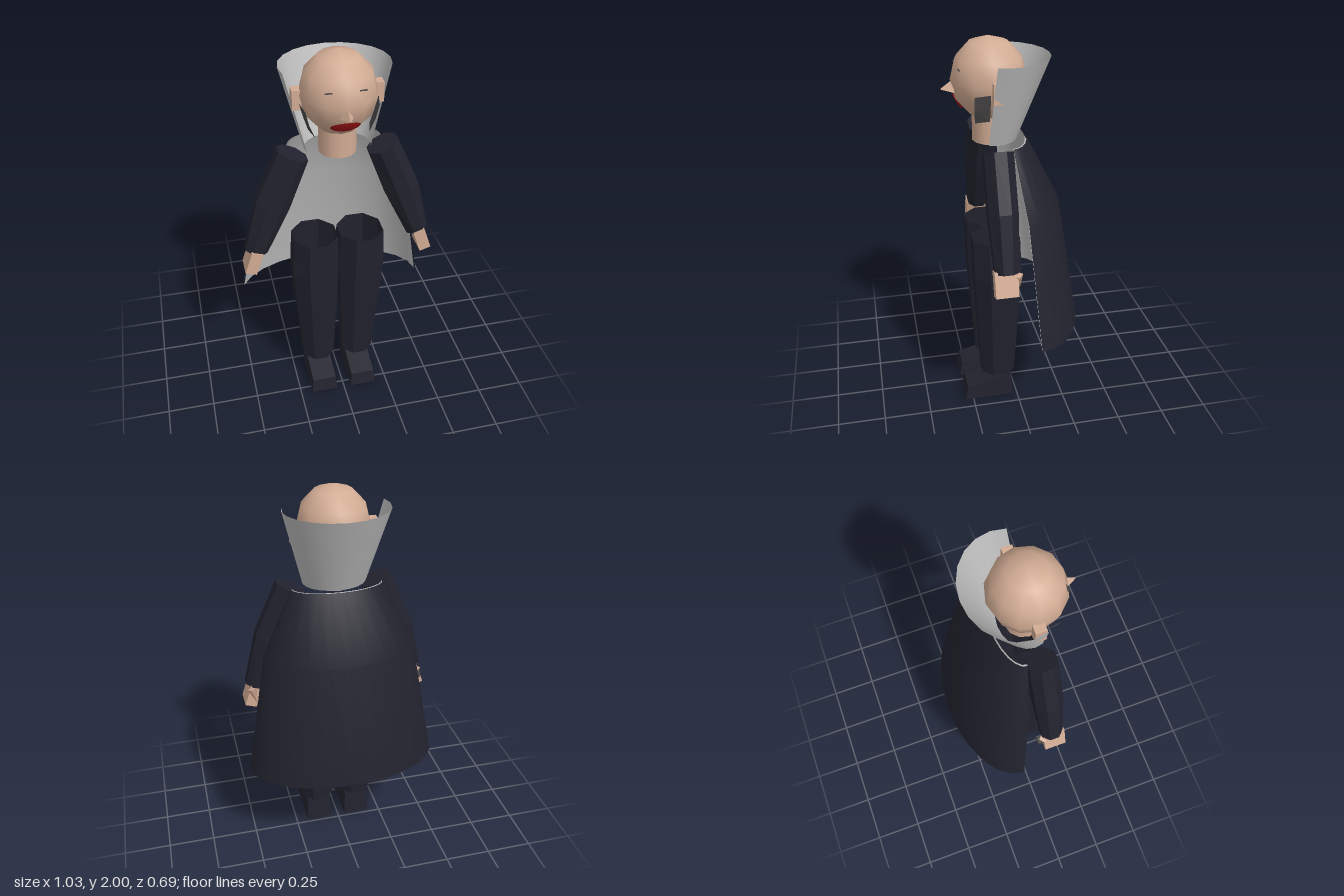
import * as THREE from 'three';

const mat = (name, color) => {
  const m = new THREE.MeshStandardMaterial({ color, side: THREE.DoubleSide });
  m.name = name;
  return m;
};

// Skin through rings of points; optional end caps, faceted or smooth
function loft(rings, { closed = true, caps = false, flat = true } = {}) {
  const n = rings[0].length, pos = rings.flat(2), idx = [];
  const span = closed ? n : n - 1;
  for (let r = 0; r < rings.length - 1; r++) {
    for (let i = 0; i < span; i++) {
      const a = r * n + i, b = r * n + (i + 1) % n;
      idx.push(a, b, a + n, b, b + n, a + n);
    }
  }
  if (caps) {
    const e = (rings.length - 1) * n;
    for (let i = 1; i < n - 1; i++) idx.push(0, i + 1, i, e, e + i, e + i + 1);
  }
  let g = new THREE.BufferGeometry();
  g.setAttribute('position', new THREE.Float32BufferAttribute(pos, 3));
  g.setIndex(idx);
  if (flat) g = g.toNonIndexed();
  g.computeVertexNormals();
  return g;
}

// Elliptical arc around (0, y, cz), from angle a0 to a1, passing behind
const arc = (y, cz, rx, rz, a0, a1, n) => Array.from({ length: n + 1 }, (_, i) => {
  const a = a0 + (a1 - a0) * i / n;
  return [Math.cos(a) * rx, y, cz - Math.sin(a) * rz];
});

export function createModel() {
  const model = new THREE.Group();
  const skin = mat('skin', 0xd2ac94);
  const navy = mat('navy cloth', 0x22222e);
  const grey = mat('grey lining', 0xbdbdbd);
  const red = mat('red lips', 0xa01518);
  const dark = mat('dark grey', 0x4c4a4a);

  const add = (name, geo, material, x = 0, y = 0, z = 0) => {
    const m = new THREE.Mesh(geo, material);
    m.name = name;
    m.position.set(x, y, z);
    model.add(m);
    return m;
  };

  // Head, nose and neck
  const HY = 1.795, HZ = 0.108, RX = 0.19, RY = 0.205;
  add('head', new THREE.SphereGeometry(1, 12, 6).scale(RX, RY, RX), skin, 0, HY, HZ);
  add('neck', new THREE.CylinderGeometry(0.095, 0.095, 0.16, 12), skin, 0, 1.56, 0.1);
  add('nose', loft([
    [[-0.032, 1.735, 0.28], [0.032, 1.735, 0.28], [0, 1.795, 0.285]],
    [[-0.002, 1.748, 0.343], [0.002, 1.748, 0.343], [0, 1.752, 0.343]],
  ], { caps: true }), skin);

  // Lips, wrapped onto the front of the head
  const lips = new THREE.RingGeometry(0, 1, 18, 3);
  const lp = lips.attributes.position;
  for (let i = 0; i < lp.count; i++) {
    const x = lp.getX(i) * 0.073, y = 1.686 + lp.getY(i) * 0.03;
    const k = 1 - (x / RX) ** 2 - ((y - HY) / RY) ** 2;
    lp.setXYZ(i, x, y, HZ + RX * Math.sqrt(k) + 0.003);
  }
  lips.computeVertexNormals();
  add('lips', lips, red);

  // Standing collar, open at the front
  const open = 0.3;
  add('collar', loft([
    arc(1.5, 0.1, 0.165, 0.13, -open, Math.PI + open, 12),
    arc(1.905, 0.04, 0.27, 0.235, -open, Math.PI + open, 12),
  ], { closed: false, flat: false }), grey);

  // Cape, with the lining just inside it
  const cape = inset => loft([
    [0.51, -0.06, 0.515, 0.285], [1.17, -0.01, 0.4, 0.23], [1.505, 0.035, 0.24, 0.105],
  ].map(([y, cz, rx, rz]) => arc(y, cz, rx - inset, rz - inset, 0, Math.PI, 12)),
  { closed: false, flat: false });
  add('cape', cape(0), navy);
  add('capeLining', cape(0.008), grey);

  for (const s of [1, -1]) {
    const side = s > 0 ? 'left' : 'right';

    // Face side details
    add(side + 'Ear', new THREE.BoxGeometry(0.045, 0.1, 0.055), skin, s * 0.198, 1.77, 0.095);
    add(side + 'Sideburn', loft([
      [[s * 0.19, 1.76, 0.13], [s * 0.175, 1.75, 0.205]],
      [[s * 0.172, 1.69, 0.13], [s * 0.158, 1.68, 0.205]],
      [[s * 0.15, 1.62, 0.13], [s * 0.13, 1.61, 0.2]],
    ], { closed: false }), dark);
    add(side + 'Eye', new THREE.BoxGeometry(0.035, 0.004, 0.008), dark, s * 0.08, 1.86, 0.264);

    // Sleeve: tilted eight-sided rings from shoulder to wrist
    const sleeve = [
      [0.225, 1.487, 0.079, 0.075, -0.43], [0.337, 1.215, 0.088, 0.075, -0.37],
      [0.432, 0.945, 0.058, 0.06, -0.27],
    ].map(([cx, cy, rw, rz, tilt]) => Array.from({ length: 8 }, (_, i) => {
      const a = (i + 0.5) * Math.PI / 4, w = Math.cos(a) * rw * 1.08;
      return [s * (cx + w * Math.cos(tilt)), cy - w * Math.sin(tilt), 0.108 + Math.sin(a) * rz * 1.05];
    }));
    add(side + 'Sleeve', loft(sleeve, { caps: true }), navy);

    // Hand and thumb
    const hand = add(side + 'Hand', new THREE.BoxGeometry(0.062, 0.13, 0.115), skin, s * 0.452, 0.896, 0.115);
    hand.rotation.z = s * 0.33;
    const thumb = add(side + 'Thumb', new THREE.ConeGeometry(0.025, 0.09, 4), skin, s * 0.45, 0.9, 0.05);
    thumb.rotation.set(Math.PI + 0.15, 0, s * 0.25);

    // Open-ended trouser leg
    const leg = [
      [0.152, 0.113, 0.1, 0.087, 0.09], [0.78, 0.125, 0.1, 0.122, 0.125], [0.99, 0.122, 0.105, 0.115, 0.122],
    ].map(([y, cx, cz, rx, rz]) => Array.from({ length: 8 }, (_, i) => {
      const a = (i + 0.5) * Math.PI / 4;
      return [s * (cx + Math.cos(a) * rx * 1.08), y, cz + Math.sin(a) * rz * 1.08];
    }));
    add(side + 'TrouserLeg', loft(leg), navy);

    // Wedge-shaped shoe
    const shoe = [[0.04, 0.185], [0.047, 0.178]];
    const ring = (y0, y1, zf, zb, [a, b]) => [
      [s * a, y0, zf], [s * b, y0, zf], [s * b, y1, zb], [s * a, y1, zb],
    ];
    add(side + 'Shoe', loft([
      ring(0, 0, 0.295, 0.022, shoe[0]), ring(0.075, 0.14, 0.278, 0.034, shoe[1]),
    ], { caps: true }), navy);
  }

  // Small dark piece beside the right thumb
  add('rightRing', new THREE.BoxGeometry(0.04, 0.03, 0.03), dark, -0.455, 0.91, 0.04);

  return model;
}
